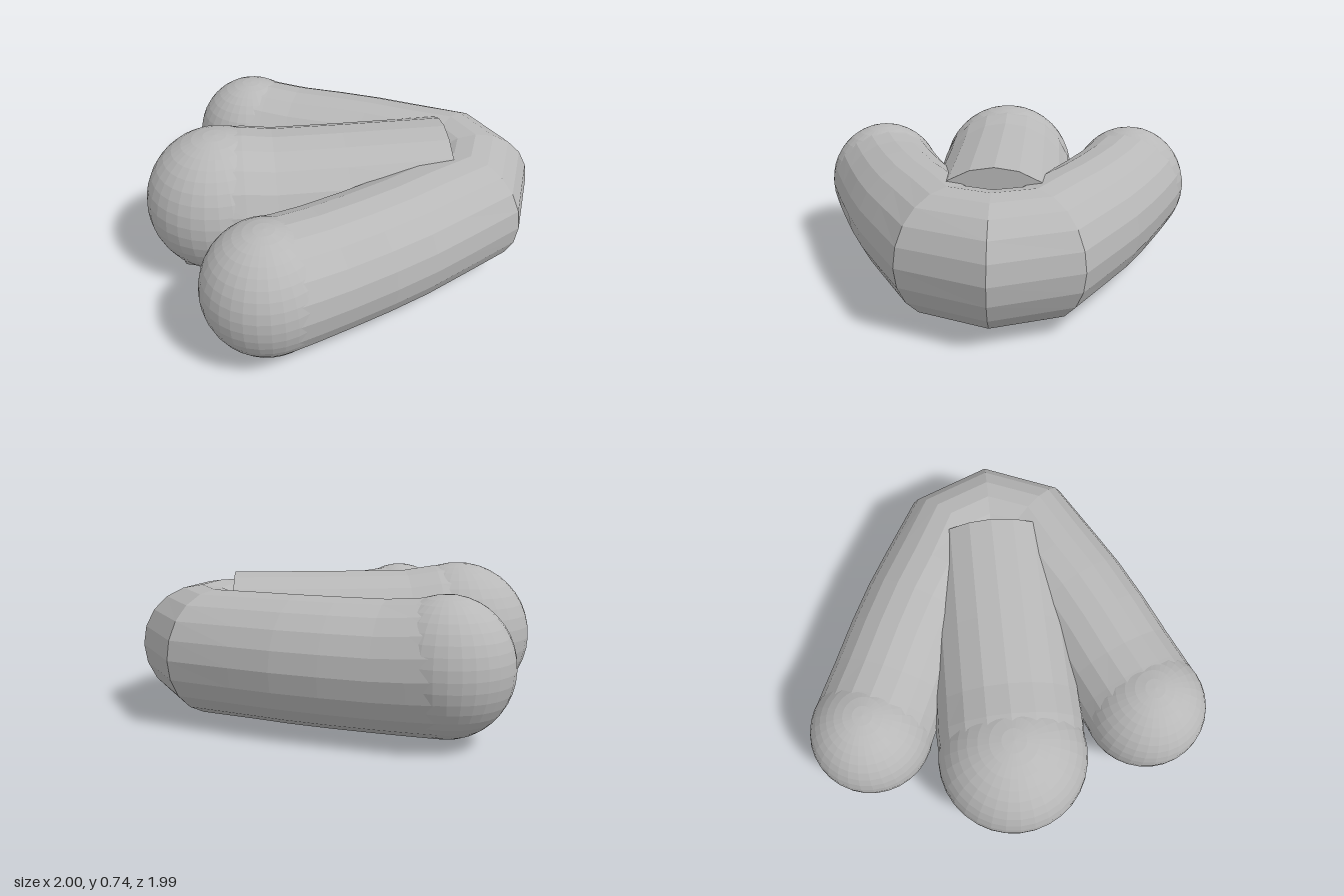
import * as THREE from 'three';

const SIDES = 20;

// Loft of upright ellipses. Ring: [x, z, nx, nz, half width, bottom y, top y], n = horizontal side direction
function loft(rings) {
  const pos = [], idx = [];
  const centre = ([x, z, , , , lo, hi]) => [x, (lo + hi) / 2, z];
  for (const [x, z, nx, nz, w, lo, hi] of rings) {
    const len = Math.hypot(nx, nz);
    for (let j = 0; j < SIDES; j++) {
      const a = (j / SIDES) * Math.PI * 2, c = (Math.cos(a) * w) / len;
      pos.push(x + nx * c, (lo + hi) / 2 + Math.sin(a) * (hi - lo) / 2, z + nz * c);
    }
  }
  const last = rings.length - 1, start = rings.length * SIDES;
  pos.push(...centre(rings[0]), ...centre(rings[last]));
  for (let j = 0; j < SIDES; j++) {
    const k = (j + 1) % SIDES;
    for (let i = 0; i < last; i++) {
      const a = i * SIDES + j, b = a + SIDES, c = i * SIDES + k, d = c + SIDES;
      idx.push(a, b, c, b, d, c);
    }
    idx.push(start, j, k, start + 1, last * SIDES + k, last * SIDES + j); // end caps
  }
  const g = new THREE.BufferGeometry();
  g.setAttribute('position', new THREE.Float32BufferAttribute(pos, 3));
  g.setIndex(idx);
  g.computeVertexNormals();
  return g;
}

export function createModel() {
  const group = new THREE.Group();
  const grey = new THREE.MeshStandardMaterial({ color: 0xb8b8b8, flatShading: true });
  grey.name = 'light grey';

  const add = (name, geometry) => {
    const mesh = new THREE.Mesh(geometry, grey);
    mesh.name = name;
    group.add(mesh);
    return mesh;
  };

  // Outer roll, bent round the pointed end
  const arm = [
    [-0.43, 0.69, 0.36, 0.93, 0.305, 0.025, 0.66],
    [-0.32, 0.645, 0.37, 0.93, 0.305, 0.024, 0.645],
    [-0.18, 0.585, 0.38, 0.92, 0.305, 0.023, 0.633],
    [0.02, 0.5, 0.42, 0.91, 0.305, 0.023, 0.633],
    [0.21, 0.41, 0.47, 0.88, 0.305, 0.023, 0.633],
    [0.38, 0.315, 0.51, 0.86, 0.305, 0.023, 0.633],
    [0.61, 0.2, 0.7, 0.7, 0.3, 0.023, 0.633],
  ];
  const tip = [0.69, 0, 1, 0, 0.305, 0.023, 0.633];
  const mirrored = arm.map(([x, z, nx, nz, ...r]) => [x, -z, nx, -nz, ...r]).reverse();
  add('outerRoll', loft([...arm, tip, ...mirrored]));

  // Rounded ends of the outer roll
  for (const s of [1, -1]) {
    const end = add(s > 0 ? 'frontRollEnd' : 'backRollEnd', new THREE.SphereGeometry(0.306, 32, 20));
    end.scale.y = 0.32 / 0.306;
    end.position.set(-0.43, 0.345, s * 0.69);
  }

  // Middle roll with its cut end
  add('middleRoll', loft([
    [-0.83, 0, 0, 1, 0.29, 0.02, 0.67],
    [-0.68, 0, 0, 1, 0.36, 0.005, 0.725],
    [-0.5, 0, 0, 1, 0.37, 0.003, 0.722],
    [-0.35, 0, 0, 1, 0.368, 0.003, 0.7],
    [0, 0, 0, 1, 0.365, 0.004, 0.697],
    [0.52, 0, 0, 1, 0.36, 0.025, 0.697],
  ]));
  add('middleRollEnd', new THREE.SphereGeometry(0.37, 32, 20)).position.set(-0.63, 0.366, 0);

  return group;
}
